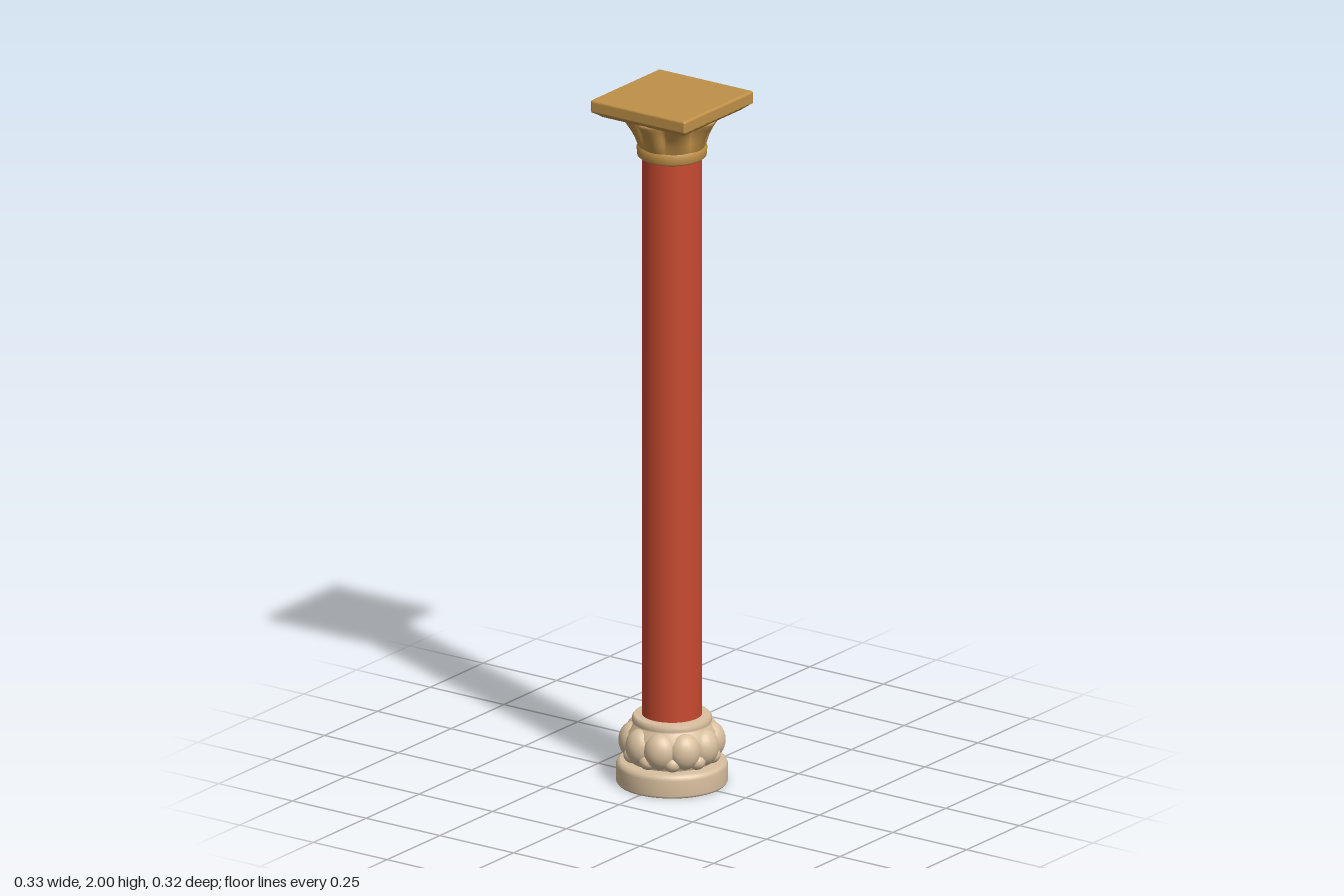
import * as THREE from 'three';
import { RoundedBoxGeometry } from 'three/addons/geometries/RoundedBoxGeometry.js';

const mat = (name, color) => {
  const m = new THREE.MeshStandardMaterial({ color });
  m.name = name;
  return m;
};

// Turned profile from [radius, height] pairs
const lathe = (points, segments = 48) =>
  new THREE.LatheGeometry(points.map(([r, y]) => new THREE.Vector2(r, y)), segments);

export function createModel() {
  const group = new THREE.Group();
  const stone = mat('pale stone', 0xd8bf9e);
  const red = mat('red lacquer', 0xc84a30);
  const gold = mat('gold', 0xbf9048);

  const add = (name, geometry, material, parent = group) => {
    const mesh = new THREE.Mesh(geometry, material);
    mesh.name = name;
    parent.add(mesh);
    return mesh;
  };

  // Round plinth with softened rims
  add('plinth', lathe([[0, 0], [0.152, 0], [0.155, 0.006], [0.155, 0.05], [0.151, 0.06],
    [0.142, 0.067], [0, 0.067]]), stone);

  // Core and collar of the lotus base
  add('baseCore', lathe([[0.115, 0.06], [0.128, 0.085], [0.132, 0.12], [0.124, 0.155],
    [0.108, 0.172], [0.11, 0.178], [0.11, 0.19], [0.104, 0.197], [0, 0.197]]), stone);

  // Ring of plump petals with smaller ones showing between them
  const petals = new THREE.Group();
  petals.name = 'lotusPetals';
  group.add(petals);
  const count = 10;
  const bead = new THREE.SphereGeometry(1, 20, 14);
  for (let i = 0; i < count; i++) {
    const place = (name, a, r, y, size) => {
      const petal = add(name, bead, stone, petals);
      petal.position.set(Math.sin(a) * r, y, Math.cos(a) * r);
      petal.rotation.y = a;
      petal.scale.set(...size);
    };
    const step = (Math.PI * 2) / count;
    place('petal', i * step, 0.108, 0.12, [0.046, 0.052, 0.04]);
    place('lowerPetal', (i + 0.5) * step, 0.112, 0.088, [0.026, 0.024, 0.028]);
  }

  // Shaft
  add('shaft', new THREE.CylinderGeometry(0.083, 0.083, 1.65, 48, 1, true), red)
    .position.y = 1.015;

  // Neck ring of the capital
  add('neckRing', lathe([[0.08, 1.824], [0.09, 1.824], [0.096, 1.83], [0.098, 1.852],
    [0.09, 1.86]]), gold);

  // Flaring bell, its radius swelling into eight leaves towards the top
  const bell = lathe([[0.09, 1.85], [0.097, 1.868], [0.102, 1.885], [0.11, 1.905],
    [0.121, 1.925], [0.132, 1.94], [0.134, 1.95], [0.115, 1.957]], 96);
  const pos = bell.attributes.position;
  for (let i = 0; i < pos.count; i++) {
    const x = pos.getX(i), y = pos.getY(i), z = pos.getZ(i);
    const leaf = Math.abs(Math.cos(4 * Math.atan2(x, z)));
    const k = 1 + (leaf - 0.75) * 0.24 * THREE.MathUtils.smoothstep(y, 1.85, 1.93);
    pos.setX(i, x * k);
    pos.setZ(i, z * k);
  }
  bell.computeVertexNormals();
  add('leafBell', bell, gold);

  // Square slab with a narrower moulding underneath
  const slab = add('abacus', new RoundedBoxGeometry(0.328, 0.038, 0.322, 3, 0.007), gold);
  slab.position.y = 1.981;
  const under = new THREE.CylinderGeometry(0.322 / Math.SQRT2, 0.275 / Math.SQRT2, 0.018, 4);
  under.rotateY(Math.PI / 4);
  add('abacusMoulding', under.toNonIndexed(), gold).position.y = 1.957;
  group.getObjectByName('abacusMoulding').geometry.computeVertexNormals();

  return group;
}
